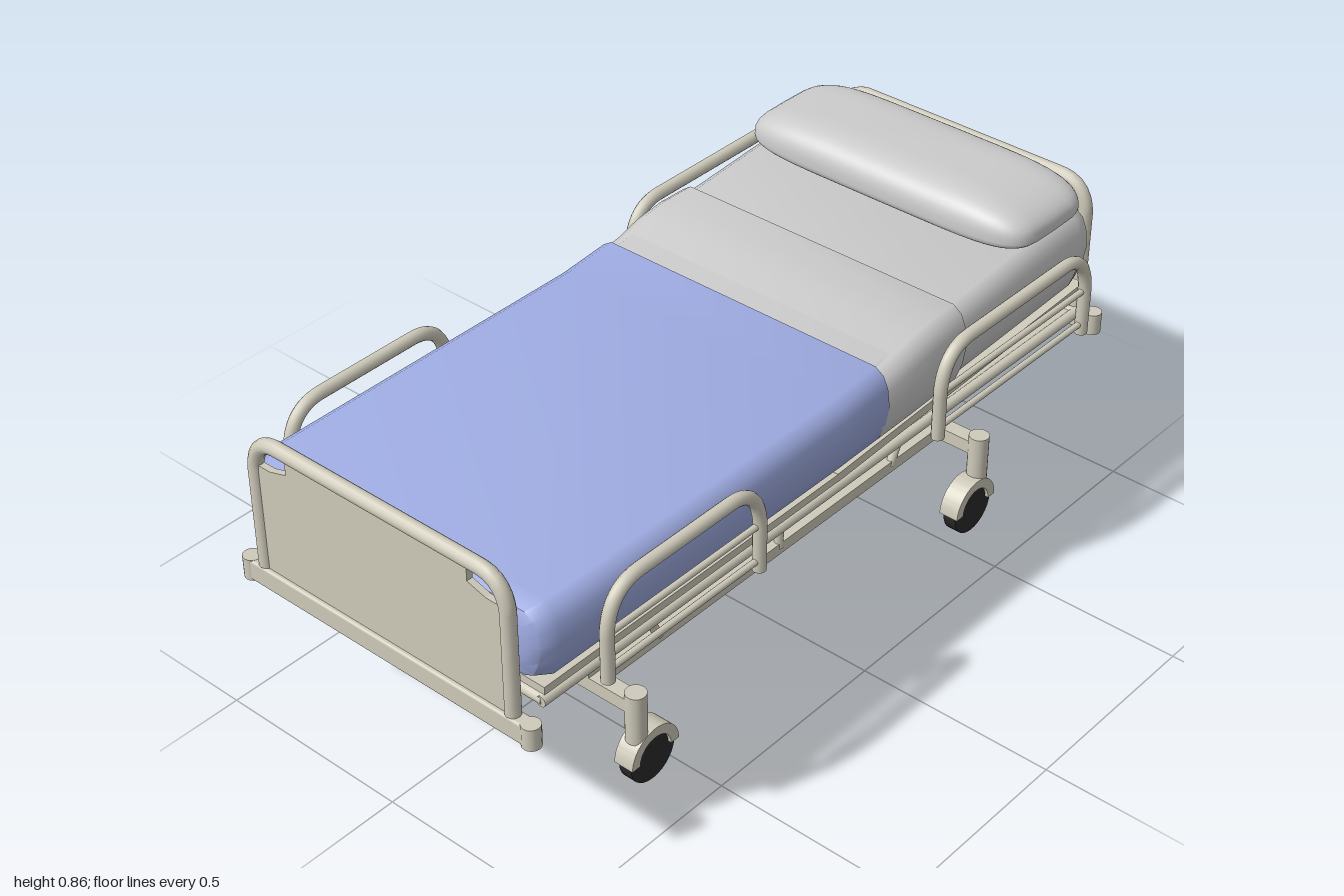
import * as THREE from 'three';
import { RoundedBoxGeometry } from 'three/addons/geometries/RoundedBoxGeometry.js';
import { toCreasedNormals } from 'three/addons/utils/BufferGeometryUtils.js';

const mat = (color) => new THREE.MeshStandardMaterial({ color });
const V = (x, y, z) => new THREE.Vector3(x, y, z);

export function createModel() {
  const model = new THREE.Group();
  const frameMat = mat(0xcfcbbb), blueMat = mat(0x9daae0), linenMat = mat(0xcccccc), tyreMat = mat(0x2a2a2a);

  const add = (parent, name, geo, material, x = 0, y = 0, z = 0) => {
    const m = new THREE.Mesh(geo, material);
    m.name = name;
    m.position.set(x, y, z);
    parent.add(m);
    return m;
  };
  const group = (name, parent = model) => {
    const g = new THREE.Group();
    g.name = name;
    parent.add(g);
    return g;
  };
  // Round bar between two points
  const bar = (parent, name, a, b, r) => {
    const m = add(parent, name, new THREE.CylinderGeometry(r, r, a.distanceTo(b), 12), frameMat);
    m.position.copy(a).lerp(b, 0.5);
    m.quaternion.setFromUnitVectors(V(0, 1, 0), b.clone().sub(a).normalize());
    return m;
  };
  // Arched tube in the local xy plane, with rounded corners
  const archTube = (w, y0, y1, c, r) => {
    const p = new THREE.CurvePath();
    p.add(new THREE.LineCurve3(V(-w, y0, 0), V(-w, y1 - c, 0)));
    p.add(new THREE.QuadraticBezierCurve3(V(-w, y1 - c, 0), V(-w + c * 0.1, y1, 0), V(-w + c, y1, 0)));
    p.add(new THREE.LineCurve3(V(-w + c, y1, 0), V(w - c, y1, 0)));
    p.add(new THREE.QuadraticBezierCurve3(V(w - c, y1, 0), V(w - c * 0.1, y1, 0), V(w, y1 - c, 0)));
    p.add(new THREE.LineCurve3(V(w, y1 - c, 0), V(w, y0, 0)));
    return new THREE.TubeGeometry(p, 72, r, 12);
  };

  // Soft body lofted towards -z from stations [z, bottom, top, halfWidth]
  const half = [[0.88, 0], [0.94, 0.07], [0.98, 0.3], [1, 0.55], [0.985, 0.78], [0.955, 0.92], [0.9, 1]];
  const ring = [...half, ...half.map(([u, v]) => [-u, v]).reverse()];
  const loft = (stations) => {
    const pos = [], idx = [], n = ring.length;
    for (const [z, b, t, w] of stations) for (const [u, v] of ring) pos.push(u * w, b + v * (t - b), z);
    for (let i = 0; i < stations.length - 1; i++) {
      for (let j = 0; j < n; j++) {
        const a = i * n + j, b = i * n + (j + 1) % n;
        idx.push(a, b + n, b, a, a + n, b + n);
      }
    }
    const last = (stations.length - 1) * n;
    for (let j = 1; j < n - 1; j++) idx.push(0, j, j + 1, last, last + j + 1, last + j);
    const g = new THREE.BufferGeometry();
    g.setAttribute('position', new THREE.Float32BufferAttribute(pos, 3));
    g.setIndex(idx);
    return toCreasedNormals(g, 0.75);
  };

  // Bedding
  const bedding = group('bedding');
  add(bedding, 'mattress', loft([
    [0, 0.512, 0.695, 0.415], [-0.4, 0.53, 0.727, 0.42], [-0.88, 0.55, 0.762, 0.42],
    [-0.92, 0.555, 0.75, 0.41], [-0.94, 0.58, 0.725, 0.385],
  ]), linenMat);
  add(bedding, 'blanket', loft([
    [0.952, 0.55, 0.665, 0.385], [0.94, 0.525, 0.69, 0.41], [0.9, 0.512, 0.704, 0.428],
    [0, 0.512, 0.702, 0.43], [-0.14, 0.516, 0.714, 0.431],
  ]), blueMat);
  add(bedding, 'foldedSheet', loft([
    [-0.13, 0.514, 0.7, 0.429], [-0.19, 0.517, 0.708, 0.431], [-0.26, 0.52, 0.727, 0.433],
    [-0.34, 0.523, 0.737, 0.433], [-0.42, 0.527, 0.737, 0.431],
  ]), linenMat);

  // Pillow: a sphere squared off in plan and flattened on its underside
  const pillow = new THREE.SphereGeometry(1, 48, 24);
  const pp = pillow.attributes.position;
  const sp = (v, e) => Math.sign(v) * Math.abs(v) ** e;
  for (let i = 0; i < pp.count; i++) {
    const x = pp.getX(i), y = pp.getY(i), z = pp.getZ(i);
    const r = Math.hypot(x, z) || 1e-6, spread = Math.min(1, r) ** 0.5;
    pp.setXYZ(i, 0.41 * sp(x / r, 0.35) * spread, sp(y, 0.8) * (y > 0 ? 0.08 : 0.035), 0.158 * sp(z / r, 0.4) * spread);
  }
  pillow.computeVertexNormals();
  add(bedding, 'pillow', pillow, linenMat, 0, 0.778, -0.778);

  // Deck: lower tray with edge tubes, flat foot section and raised head section
  const deck = group('deck');
  add(deck, 'deckTray', new THREE.BoxGeometry(0.79, 0.016, 1.85), frameMat, 0, 0.466, 0);
  for (const s of [-1, 1]) {
    bar(deck, 'deckSideTube', V(s * 0.393, 0.466, -0.93), V(s * 0.393, 0.466, 0.93), 0.013);
    bar(deck, 'deckEndTube', V(-0.393, 0.466, s * 0.92), V(0.393, 0.466, s * 0.92), 0.013);
    add(deck, 'deckMount', new THREE.BoxGeometry(0.5, 0.035, 0.06), frameMat, 0, 0.435, s * 0.94);
  }
  add(deck, 'footPlatform', new THREE.BoxGeometry(0.81, 0.02, 0.93), frameMat, 0, 0.5, 0.465);
  const headPlatform = add(deck, 'headPlatform', new THREE.BoxGeometry(0.81, 0.022, 0.932), frameMat, 0, 0.521, -0.464);
  headPlatform.rotation.x = Math.atan2(0.042, 0.93);

  // End boards with a hand hole in each upper corner
  const panel = new THREE.Shape();
  panel.moveTo(-0.375, 0.45).lineTo(0.375, 0.45).lineTo(0.375, 0.73).lineTo(0.33, 0.782).lineTo(-0.33, 0.782).lineTo(-0.375, 0.73);
  for (const s of [-1, 1]) {
    const hole = new THREE.Path();
    hole.moveTo(s * 0.26, 0.737).lineTo(s * 0.31, 0.722).lineTo(s * 0.35, 0.722).lineTo(s * 0.35, 0.75);
    hole.lineTo(s * 0.325, 0.775).lineTo(s * 0.26, 0.775);
    panel.holes.push(hole);
  }
  for (const s of [-1, 1]) {
    const end = group(s > 0 ? 'footBoard' : 'headBoard');
    end.position.z = s * 0.977;
    const slab = new THREE.ExtrudeGeometry(panel, { depth: 0.016, bevelEnabled: false });
    add(end, 'endPanel', slab, frameMat, 0, 0, -0.008);
    add(end, 'endArch', archTube(0.362, 0.45, 0.785, 0.075, 0.018), frameMat);
    add(end, 'bumperBar', new RoundedBoxGeometry(0.82, 0.053, 0.036, 2, 0.006), frameMat, 0, 0.423, 0);
    for (const x of [-0.41, 0.41])
      add(end, 'bumperRoller', new THREE.CylinderGeometry(0.022, 0.022, 0.055, 16), frameMat, x, 0.4225, 0);
  }

  // Side rails: two per side
  for (const s of [-1, 1]) {
    for (const [zc, w] of [[0.57, 0.235], [-0.567, 0.28]]) {
      const rail = group('sideRail');
      rail.position.set(s * 0.46, 0, zc);
      rail.rotation.y = Math.PI / 2;
      add(rail, 'railArch', archTube(w, 0.478, 0.705, 0.1, 0.016), frameMat);
      for (const y of [0.505, 0.597]) bar(rail, 'railBar', V(-w, y, 0), V(w, y, 0), 0.008);
    }
  }

  // Undercarriage: base plate, stepped cross members and struts
  const base = group('base');
  add(base, 'basePlate', new THREE.BoxGeometry(0.5, 0.03, 1.2), frameMat, 0, 0.225, 0);
  const cross = new THREE.Shape();
  cross.moveTo(-0.345, 0.207).lineTo(0.345, 0.207).lineTo(0.345, 0.242).lineTo(0.238, 0.242);
  cross.lineTo(0.238, 0.334).lineTo(-0.238, 0.334).lineTo(-0.238, 0.242).lineTo(-0.345, 0.242);
  for (const s of [-1, 1]) {
    add(base, 'crossMember', new THREE.ExtrudeGeometry(cross, { depth: 0.04, bevelEnabled: false }), frameMat, 0, 0, s * 0.61 - 0.02);
    for (const [z0, z1] of [[0, 0], [0.41, 0.53], [-0.41, -0.53]])
      bar(base, 'strut', V(s * 0.242, 0.225, z0), V(s * 0.242, 0.46, z1), 0.011);
  }

  // Casters
  const arc = new THREE.Shape();
  arc.absarc(0, 0, 0.075, 0, Math.PI, false);
  arc.absarc(0, 0, 0.05, Math.PI, 0, true);
  const fender = toCreasedNormals(
    new THREE.ExtrudeGeometry(arc, { depth: 0.052, bevelEnabled: false, curveSegments: 20 }).translate(0, 0, -0.026), 0.6);
  for (const sx of [-1, 1]) {
    for (const sz of [-1, 1]) {
      const caster = group('caster');
      caster.position.set(sx * 0.355, 0, sz * 0.61);
      add(caster, 'casterPost', new THREE.CylinderGeometry(0.025, 0.025, 0.13, 20), frameMat, 0, 0.192, 0);
      add(caster, 'wheel', new THREE.CylinderGeometry(0.07, 0.07, 0.034, 28), tyreMat, 0, 0.07, -sz * 0.032).rotation.z = Math.PI / 2;
      add(caster, 'fender', fender, frameMat, 0, 0.073, -sz * 0.032).rotation.y = Math.PI / 2;
    }
  }
  return model;
}
